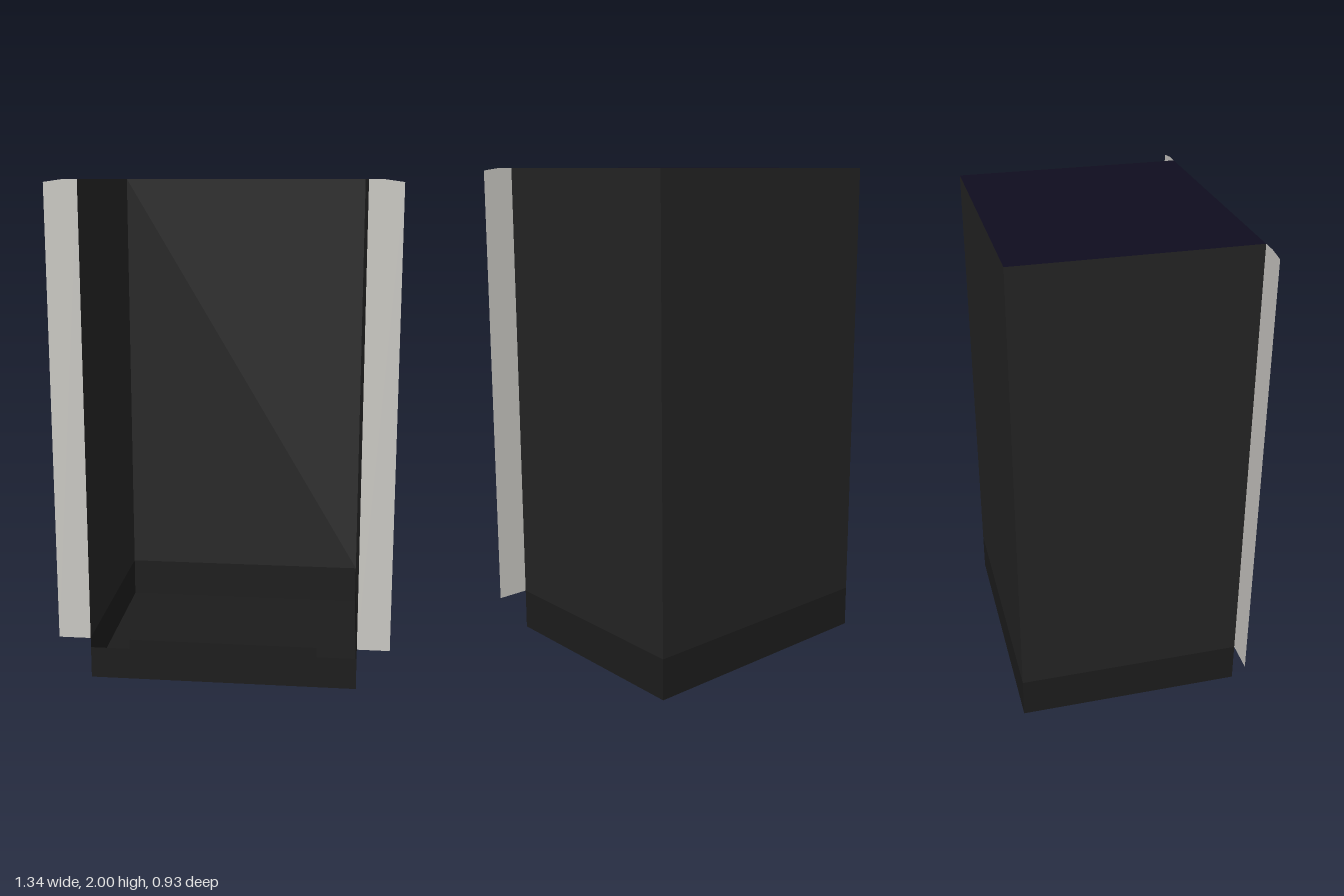
import * as THREE from 'three';

const W = 0.54, D = 0.465, H = 2, BASE = 0.17;

const mat = (color) => new THREE.MeshStandardMaterial({ color, side: THREE.DoubleSide });

export function createModel() {
  const group = new THREE.Group();
  const wallMat = mat(0x232323), baseMat = mat(0x1c1c1c);
  const roofMat = mat(0x0f0d1f), flangeMat = mat(0xc9c7c2);

  const add = (name, geometry, material) => {
    const mesh = new THREE.Mesh(geometry, material);
    mesh.name = name;
    group.add(mesh);
    return mesh;
  };
  // Thin upright sheet, turned about y
  const sheet = (name, width, y0, y1, x, z, turn, material) => {
    const mesh = add(name, new THREE.PlaneGeometry(width, y1 - y0), material);
    mesh.position.set(x, (y0 + y1) / 2, z);
    mesh.rotation.y = turn;
  };
  // Flat outline facing the front
  const outline = (name, points, material) => {
    const shape = new THREE.Shape(points.map(([x, y]) => new THREE.Vector2(x, y)));
    add(name, new THREE.ShapeGeometry(shape), material).position.z = D;
  };

  // Back and side walls, each with a darker base band
  for (const [part, y0, y1, material] of [['Base', 0, BASE, baseMat], ['Wall', BASE, H, wallMat]]) {
    sheet('back' + part, 2 * W, y0, y1, 0, -D, Math.PI, material);
    sheet('left' + part, 2 * D, y0, y1, W, 0, Math.PI / 2, material);
    sheet('right' + part, 2 * D, y0, y1, -W, 0, -Math.PI / 2, material);
  }

  // Floor and roof
  const floor = add('floor', new THREE.PlaneGeometry(2 * W, 2 * D), baseMat);
  floor.rotation.x = Math.PI / 2;
  const roof = add('roof', new THREE.PlaneGeometry(2 * W, 2 * D), roofMat);
  roof.rotation.x = -Math.PI / 2;
  roof.position.y = H;

  // Front sill, raised in the middle
  outline('frontSill', [[-W, 0], [W, 0], [W, 0.13], [0.38, 0.13], [0.38, BASE],
    [-0.38, BASE], [-0.38, 0.13], [-W, 0.13]], baseMat);

  // Pale flanges either side of the opening
  for (const [name, s] of [['leftFlange', 1], ['rightFlange', -1]]) {
    outline(name, [[s * W, BASE], [s * 0.67, BASE], [s * 0.67, 1.99], [s * 0.6, H], [s * W, H]], flangeMat);
  }
  return group;
}
